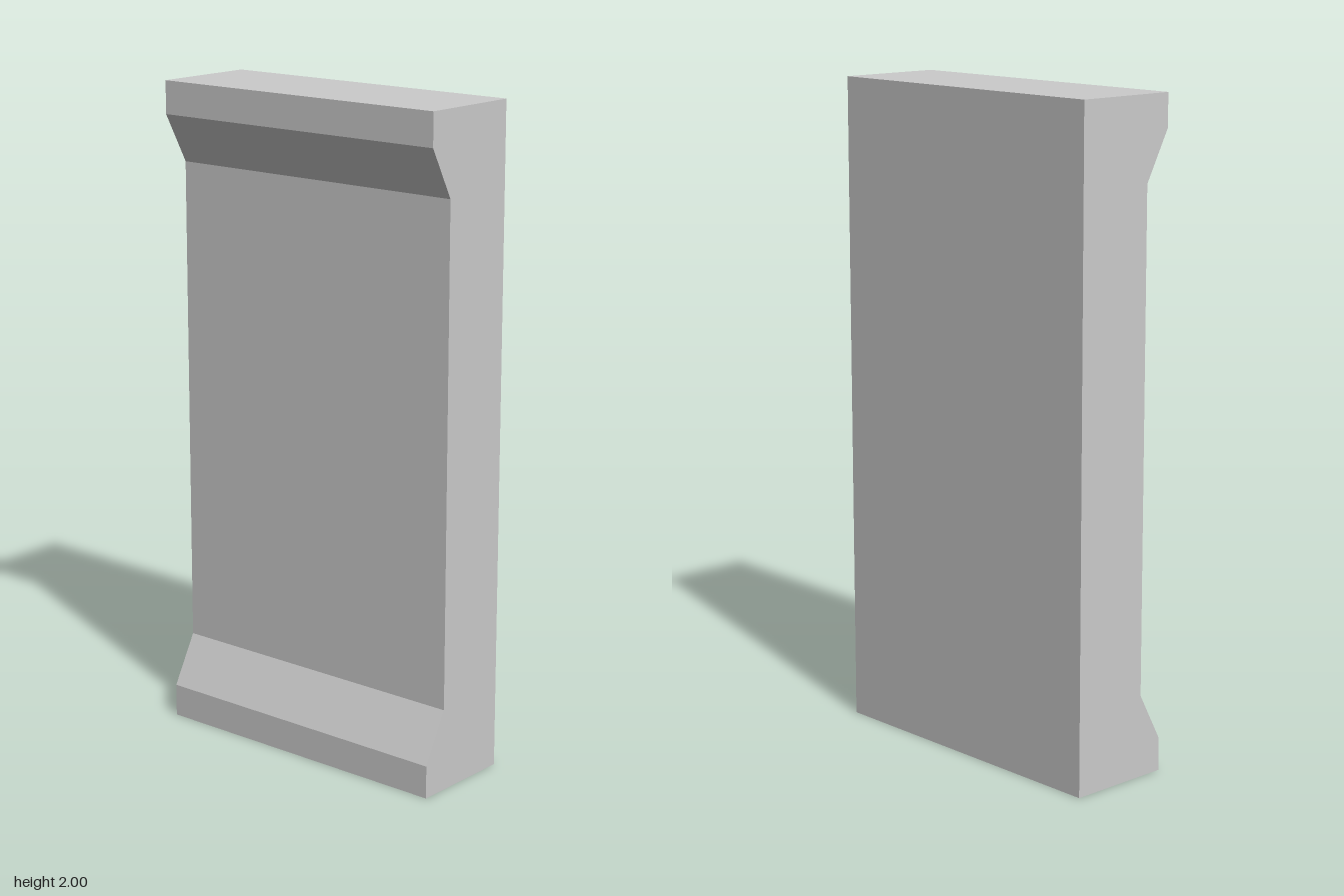
import * as THREE from 'three';

const WIDTH = 1, HEIGHT = 2;
const BACK = -0.165, LIP = 0.165, FACE = 0.085; // z depths
const LIP_HEIGHT = 0.1, BEVEL_END = 0.25;

export function createModel() {
  const group = new THREE.Group();
  group.name = 'wallPanel';

  // Side profile (z, y): flat back, recessed face, sloped lips at base and top
  const profile = new THREE.Shape([
    [BACK, 0], [LIP, 0], [LIP, LIP_HEIGHT], [FACE, BEVEL_END],
    [FACE, HEIGHT - BEVEL_END], [LIP, HEIGHT - LIP_HEIGHT], [LIP, HEIGHT], [BACK, HEIGHT],
  ].map(([z, y]) => new THREE.Vector2(z, y)));

  // Sweep the profile across the width, then turn it so the lips face +z
  const geometry = new THREE.ExtrudeGeometry(profile, { depth: WIDTH, bevelEnabled: false });
  geometry.translate(0, 0, -WIDTH / 2);
  geometry.rotateY(-Math.PI / 2);

  const panel = new THREE.Mesh(
    geometry,
    new THREE.MeshStandardMaterial({ color: 0xcccccc, flatShading: true }),
  );
  panel.name = 'panel';
  group.add(panel);
  return group;
}
